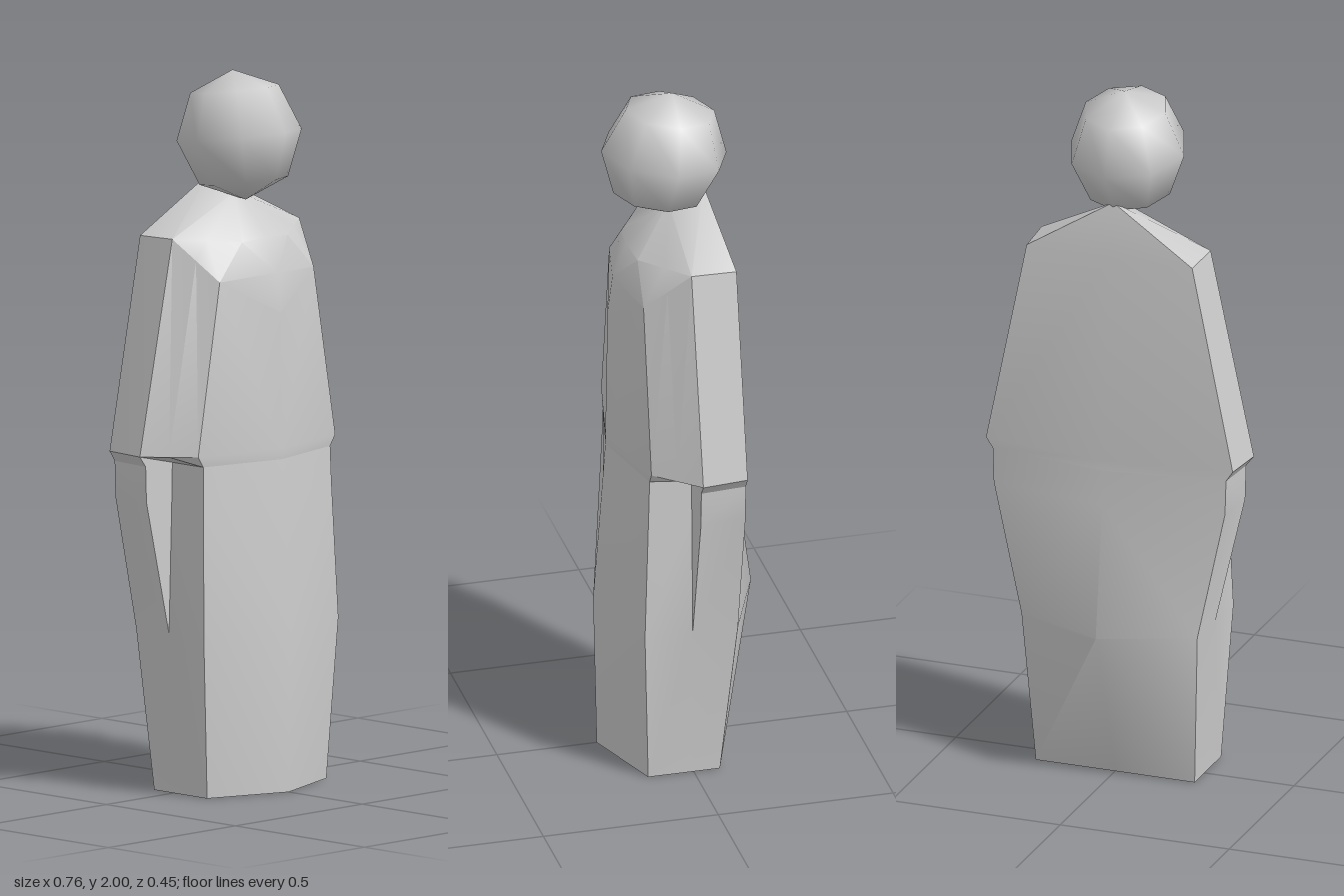
import * as THREE from 'three';
import { toCreasedNormals } from 'three/addons/utils/BufferGeometryUtils.js';

// Half ring, front centre round to back centre -> full closed ring of vectors
function fullRing(half) {
  const pts = half.map(p => new THREE.Vector3(...p));
  const mirrored = pts.slice(1, -1).reverse().map(p => new THREE.Vector3(-p.x, p.y, p.z));
  return [...pts, ...mirrored];
}

// Skin between successive rings, optionally closing the bottom
function loft(halfRings, crease, closeBottom) {
  const rings = halfRings.map(fullRing);
  const pos = [];
  const tri = (a, b, c) => {
    const area = b.clone().sub(a).cross(c.clone().sub(a)).length();
    if (area > 1e-6) for (const p of [a, b, c]) pos.push(p.x, p.y, p.z);
  };
  for (let r = 0; r < rings.length - 1; r++) {
    const lo = rings[r], hi = rings[r + 1], n = lo.length;
    for (let i = 0; i < n; i++) {
      const j = (i + 1) % n;
      // mirror the diagonals so both halves match
      if (i < n / 2) { tri(lo[i], lo[j], hi[j]); tri(lo[i], hi[j], hi[i]); }
      else { tri(lo[i], lo[j], hi[i]); tri(lo[j], hi[j], hi[i]); }
    }
  }
  if (closeBottom) {
    const b = rings[0];
    for (let i = 1; i < b.length - 1; i++) tri(b[0], b[i + 1], b[i]);
  }
  const g = new THREE.BufferGeometry();
  g.setAttribute('position', new THREE.Float32BufferAttribute(pos, 3));
  return toCreasedNormals(g, crease);
}

export function createModel() {
  const group = new THREE.Group();
  const material = new THREE.MeshStandardMaterial({ color: 0xcccccc, side: THREE.DoubleSide });
  const add = (name, geometry) => {
    const mesh = new THREE.Mesh(geometry, material);
    mesh.name = name;
    group.add(mesh);
    return mesh;
  };

  // Half ring: front centre, front corner, inner fold, outer side, back corner, back centre
  const waist = [[0, 0.93, 0.19], [0.25, 0.93, 0.13], [0.25, 0.93, 0.01],
    [0.355, 0.93, 0.01], [0.345, 0.93, -0.12], [0, 0.93, -0.168]];

  // Lower robe, with the hanging sleeves stepping out behind the front panel
  add('lowerRobe', loft([
    [[0, 0, 0.215], [0.235, 0, 0.13], [0.235, 0, 0.01],
      [0.235, 0, 0.01], [0.235, 0, -0.075], [0, 0, -0.075]],
    [[0, 0.45, 0.225], [0.265, 0.45, 0.147], [0.263, 0.45, 0.01],
      [0.263, 0.45, 0.01], [0.26, 0.45, -0.12], [0, 0.45, -0.226]],
    [[0, 0.83, 0.197], [0.252, 0.83, 0.133], [0.252, 0.83, 0.01],
      [0.352, 0.83, 0.01], [0.342, 0.83, -0.12], [0, 0.83, -0.176]],
    waist,
  ], 0.8, true));

  // Upper robe: hem, chest and shoulders closing to a ridge at the neck
  const side = [0.25, 1.555, 0.01], back = [0.245, 1.55, -0.12], spine = [0, 1.55, -0.124];
  const chest = [0.185, 1.44, 0.13], chestFold = [0.2175, 1.4975, 0.07];
  const neckFront = [0, 1.66, 0.01], neckBack = [0, 1.7, -0.09];
  add('upperRobe', loft([
    waist,
    [[0, 0.96, 0.19], [0.27, 0.96, 0.13], [0.324, 0.96, 0.07],
      [0.378, 0.96, 0.01], [0.365, 0.96, -0.12], [0, 0.96, -0.166]],
    [[0, 1.34, 0.184], chest, chestFold, side, back, spine],
    [[0, 1.45, 0.17], chest, chestFold, side, back, spine],
    [[0, 1.545, 0.13], [0.09, 1.54, 0.122], [0.17, 1.5475, 0.066], side, back, spine],
    [neckFront, neckFront, neckFront, neckFront, neckBack, neckBack],
  ], 0.5, false));

  // Low-sided round head, tipped slightly back
  const head = add('head', new THREE.SphereGeometry(0.181, 8, 4));
  head.scale.x = 0.92;
  head.rotation.x = -0.14;
  head.position.set(0, 1.82, 0.023);

  return group;
}
